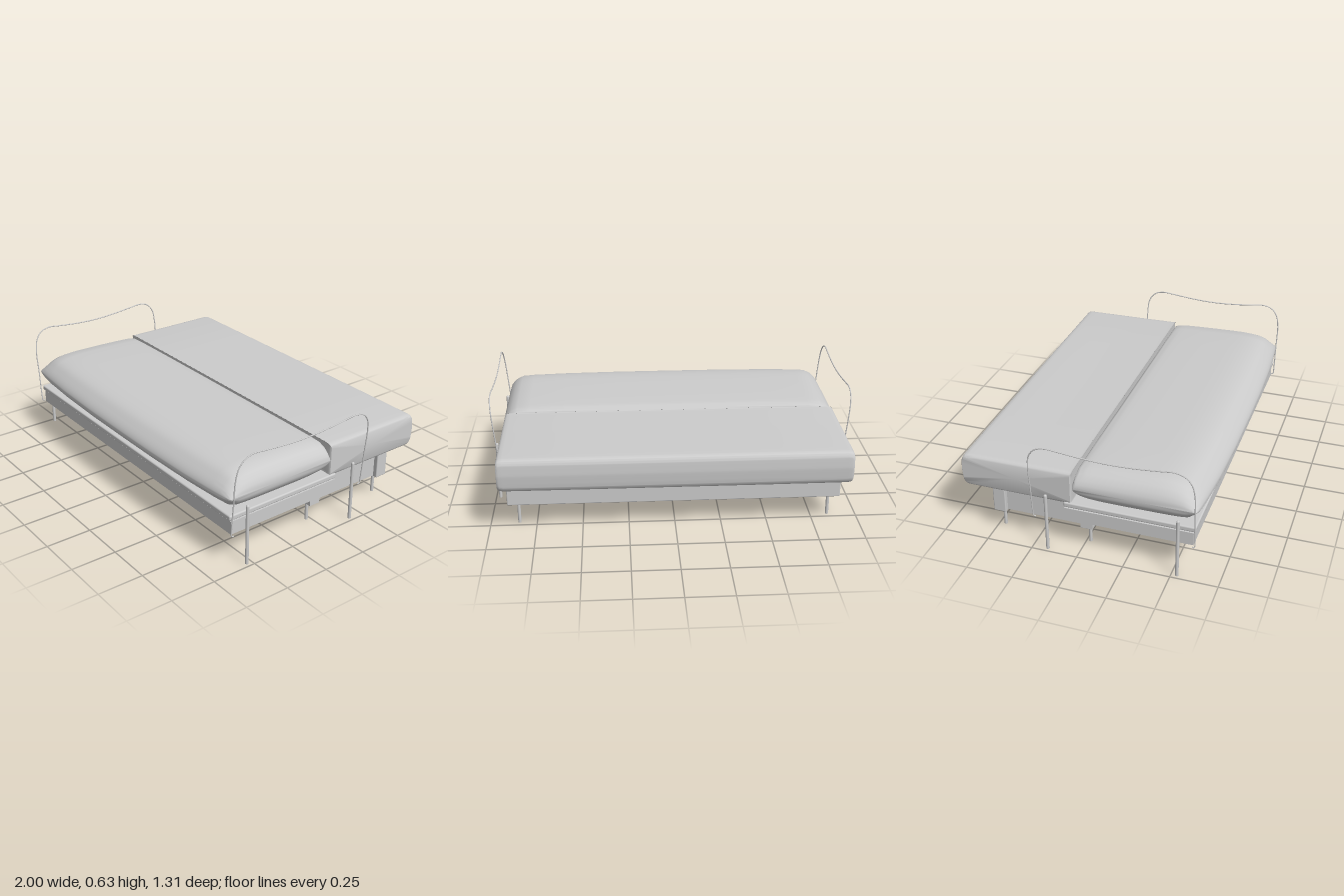
import * as THREE from 'three';
import { toCreasedNormals } from 'three/addons/utils/BufferGeometryUtils.js';
import { RoundedBoxGeometry } from 'three/addons/geometries/RoundedBoxGeometry.js';

const grey = new THREE.MeshStandardMaterial({ color: 0xcccccc });

function add(parent, name, geometry, x = 0, y = 0, z = 0) {
  const mesh = new THREE.Mesh(geometry, grey);
  mesh.name = name;
  mesh.position.set(x, y, z);
  parent.add(mesh);
  return mesh;
}

// Box given by half width in x and its y and z limits; radius rounds the edges
function slab(parent, name, halfX, y0, y1, z0, z1, radius = 0) {
  const size = [halfX * 2, y1 - y0, z1 - z0];
  const geometry = radius ? new RoundedBoxGeometry(...size, 3, radius) : new THREE.BoxGeometry(...size);
  return add(parent, name, geometry, 0, (y0 + y1) / 2, (z0 + z1) / 2);
}

// Cushion lofted along x from a closed (z, y) profile; ends = [x, y scale, z scale] from the middle outwards
function cushionGeometry(profile, ends, middle, bow, tension) {
  const curve = new THREE.CatmullRomCurve3(
    profile.map(([z, y]) => new THREE.Vector3(0, y, z)), true, 'catmullrom', tension);
  const ring = curve.getPoints(72).slice(0, -1);
  const rows = [...ends.map(([x, a, b]) => [-x, a, b]).reverse(), ...ends.slice(1)];
  const n = ring.length, positions = [], index = [];
  const [midZ, midY] = middle;
  for (const [x, sy, sz] of rows) {
    for (const p of ring) {
      const dz = p.z - midZ;
      const pull = dz > 0 ? bow * Math.pow(Math.abs(x), 3) * dz / 0.35 : 0;
      positions.push(x, midY + (p.y - midY) * sy, midZ + dz * sz - pull);
    }
  }
  for (let i = 0; i < rows.length - 1; i++) {
    for (let j = 0; j < n; j++) {
      const k = (j + 1) % n;
      const a = i * n + j, b = i * n + k, c = b + n, d = a + n;
      index.push(a, b, c, a, c, d);
    }
  }
  // End caps
  const last = (rows.length - 1) * n, centre = rows.length * n;
  positions.push(rows[0][0], midY, midZ, rows[rows.length - 1][0], midY, midZ);
  for (let j = 0; j < n; j++) {
    const k = (j + 1) % n;
    index.push(centre, k, j, centre + 1, last + j, last + k);
  }
  const geometry = new THREE.BufferGeometry();
  geometry.setAttribute('position', new THREE.Float32BufferAttribute(positions, 3));
  geometry.setIndex(index);
  return toCreasedNormals(geometry, 0.8);
}

export function createModel() {
  const model = new THREE.Group();
  model.name = 'sofaBed';

  // Soft front cushion with a rounded nose
  add(model, 'seatCushion', cushionGeometry(
    [[0.3, 0.49], [0.46, 0.49], [0.56, 0.472], [0.615, 0.435], [0.65, 0.395], [0.652, 0.36], [0.61, 0.315],
      [0.55, 0.29], [0.3, 0.285], [0.1, 0.286], [0.01, 0.298], [-0.028, 0.33], [-0.04, 0.38], [-0.033, 0.44],
      [-0.01, 0.472], [0.1, 0.483]],
    [[0, 1, 1], [0.3, 1, 1], [0.6, 0.99, 1], [0.8, 0.97, 1], [0.87, 0.93, 1], [0.905, 0.77, 0.998],
      [0.93, 0.53, 0.993], [0.943, 0.33, 0.985], [0.948, 0.18, 0.975]],
    [0.305, 0.38], 0.045, 0.5));

  // Firmer rear cushion: square at the seam, rounded at the back
  add(model, 'backCushion', cushionGeometry(
    [[-0.05, 0.464], [-0.047, 0.46], [-0.047, 0.276], [-0.051, 0.272], [-0.3, 0.271], [-0.61, 0.271],
      [-0.636, 0.278], [-0.648, 0.3], [-0.654, 0.37], [-0.65, 0.43], [-0.64, 0.45], [-0.615, 0.458], [-0.3, 0.461]],
    [[0, 1, 1], [0.5, 1, 1], [0.9, 0.99, 1], [0.92, 0.96, 1], [0.93, 0.91, 0.995], [0.934, 0.82, 0.985]],
    [-0.35, 0.367], 0, 0.15));

  // Sliding front frame with a thin deck
  slab(model, 'seatFrame', 0.935, 0.175, 0.248, -0.085, 0.6);
  slab(model, 'deckGap', 0.925, 0.248, 0.258, -0.08, 0.59);
  slab(model, 'seatDeck', 0.94, 0.256, 0.285, -0.087, 0.612, 0.008);

  // Rear base: panel between two long rails
  slab(model, 'basePanel', 0.88, 0.125, 0.27, -0.44, 0);
  slab(model, 'frontRail', 0.905, 0.12, 0.174, -0.01, 0.055);
  slab(model, 'rearRail', 0.905, 0.12, 0.27, -0.5, -0.43, 0.006);

  for (const side of [1, -1]) {
    const label = side > 0 ? 'left' : 'right';

    // Short legs under the base
    for (const z of [0.022, -0.466]) {
      add(model, label + 'BaseLeg', new THREE.CylinderGeometry(0.009, 0.009, 0.122, 16), side * 0.845, 0.061, z);
    }

    // Tall outer posts with domed tops
    for (const z of [0.53, -0.168]) {
      add(model, label + 'Post', new THREE.CylinderGeometry(0.009, 0.009, 0.33, 16), side * 0.976, 0.165, z);
      add(model, label + 'PostCap', new THREE.SphereGeometry(0.009, 16, 8, 0, Math.PI * 2, 0, Math.PI / 2),
        side * 0.976, 0.33, z);
    }

    // Thin wire arm leaning outwards, with short hooked ends
    const path = [[0.598, 0.175], [0.611, 0.178], [0.613, 0.2], [0.613, 0.36], [0.613, 0.5], [0.598, 0.57],
      [0.565, 0.61], [0.515, 0.626], [0.45, 0.62], [0.32, 0.607], [0.19, 0.602], [0.05, 0.608], [-0.08, 0.621],
      [-0.15, 0.626], [-0.205, 0.61], [-0.24, 0.565], [-0.251, 0.5], [-0.251, 0.36], [-0.251, 0.2],
      [-0.249, 0.177], [-0.235, 0.174]];
    const points = path.map(([z, y]) =>
      new THREE.Vector3(side * (0.953 + 0.0425 * (y - 0.175) / 0.45), y, z));
    add(model, label + 'WireArm', new THREE.TubeGeometry(new THREE.CatmullRomCurve3(points), 160, 0.0035, 8));
  }
  return model;
}
